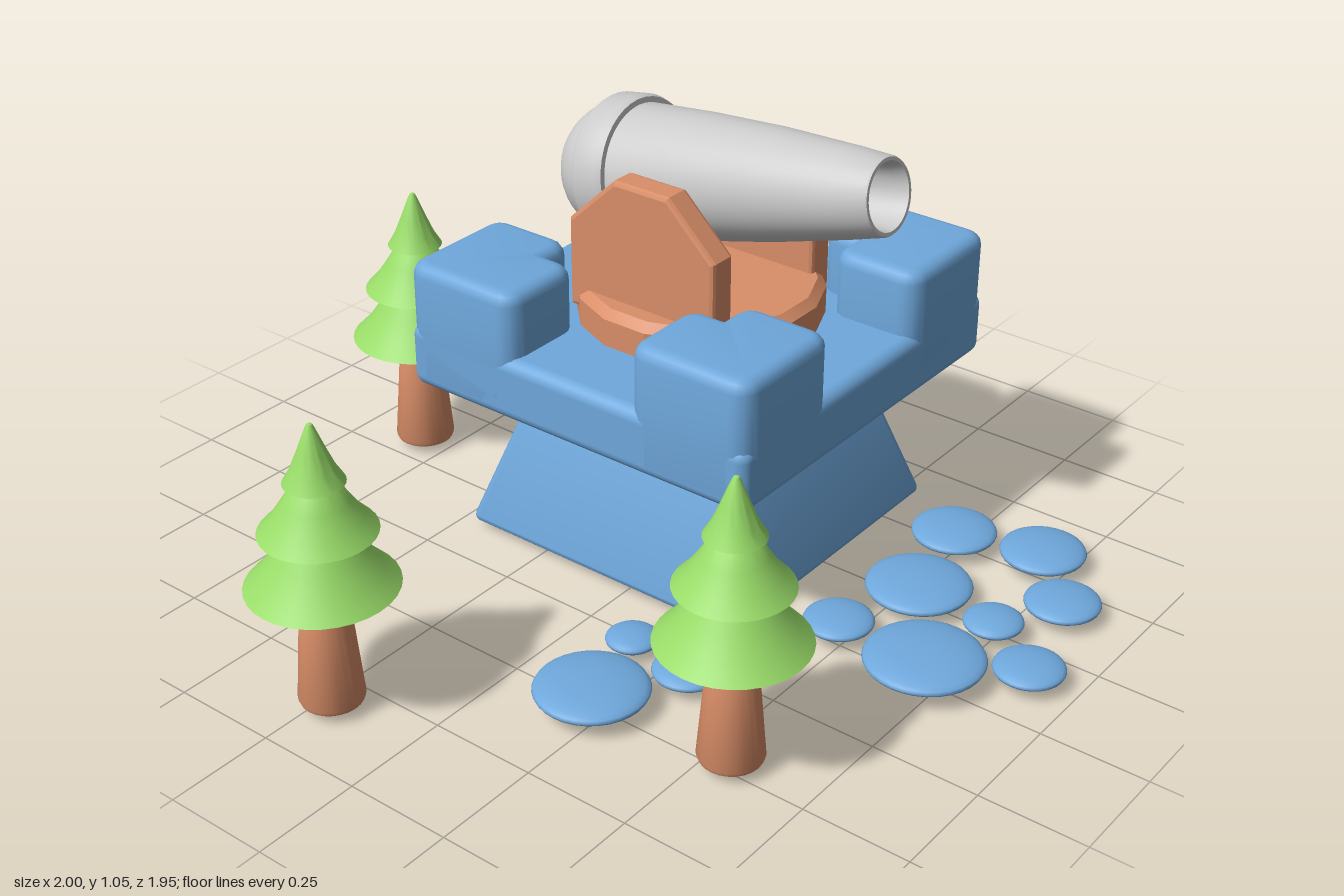
import * as THREE from 'three';
import { toCreasedNormals } from 'three/addons/utils/BufferGeometryUtils.js';
import { RoundedBoxGeometry } from 'three/addons/geometries/RoundedBoxGeometry.js';

const mat = (color) => new THREE.MeshStandardMaterial({ color });
const BLUE = mat(0x6fa8dc), WOOD = mat(0xd98e68), LEAF = mat(0x98db68);
const STEEL = mat(0xcccccc), CLOTH = mat(0xd94a68), BRASS = mat(0xd8b27c);

function add(parent, name, geometry, material, x = 0, y = 0, z = 0) {
  const mesh = new THREE.Mesh(geometry, material);
  mesh.name = name;
  mesh.position.set(x, y, z);
  parent.add(mesh);
  return mesh;
}

const lathe = (points, sides = 32, crease = 0.6) => toCreasedNormals(
  new THREE.LatheGeometry(points.map(([r, y]) => new THREE.Vector2(r, y)), sides), crease);

// Closed outline with every corner rounded by r
function roundedShape(points, r) {
  const shape = new THREE.Shape();
  const v = points.map(([x, y]) => new THREE.Vector2(x, y));
  v.forEach((p, i) => {
    const prev = v[(i + v.length - 1) % v.length], next = v[(i + 1) % v.length];
    const a = p.clone().add(prev.clone().sub(p).setLength(r));
    const b = p.clone().add(next.clone().sub(p).setLength(r));
    if (i === 0) shape.moveTo(a.x, a.y); else shape.lineTo(a.x, a.y);
    shape.quadraticCurveTo(p.x, p.y, b.x, b.y);
  });
  shape.closePath();
  return shape;
}

function makeTower() {
  const tower = new THREE.Group();
  tower.name = 'tower';

  // Tapered foot
  const foot = new RoundedBoxGeometry(0.78, 0.41, 0.78, 4, 0.025);
  const p = foot.attributes.position;
  for (let i = 0; i < p.count; i++) {
    const s = 1 - 0.34 * (p.getY(i) / 0.41 + 0.5);
    p.setX(i, p.getX(i) * s);
    p.setZ(i, p.getZ(i) * s);
  }
  add(tower, 'towerBase', toCreasedNormals(foot, 0.6), BLUE, 0, 0.225, 0);

  // Platform with four L-shaped corner battlements
  add(tower, 'platform', new RoundedBoxGeometry(0.94, 0.155, 0.94, 4, 0.03), BLUE, 0, 0.4775, 0);
  const outline = roundedShape([[0.44, 0.44], [0.19, 0.44], [0.19, 0.275],
    [0.275, 0.275], [0.275, 0.19], [0.44, 0.19]], 0.02);
  const merlon = toCreasedNormals(new THREE.ExtrudeGeometry(outline, {
    depth: 0.25, bevelThickness: 0.03, bevelSize: 0.03, bevelSegments: 4, curveSegments: 4,
  }).rotateX(-Math.PI / 2), 0.6);
  for (let i = 0; i < 4; i++) {
    add(tower, 'battlement', merlon, BLUE, 0, 0.43, 0).rotation.y = i * Math.PI / 2;
  }
  return tower;
}

function makeCannon() {
  const cannon = new THREE.Group();
  cannon.name = 'cannon';

  // Turntable
  const disc = lathe([[0, 0.54], [0.285, 0.54], [0.285, 0.62], [0.265, 0.64], [0, 0.64]], 16, 0.3);
  add(cannon, 'turntable', disc, WOOD).rotation.y = Math.PI / 16;

  // Cheek plates on both sides of the barrel
  const plate = new THREE.Shape([[-0.19, 0.6], [0.19, 0.6], [0.19, 0.8], [0.07, 0.915],
    [-0.07, 0.915], [-0.19, 0.8]].map(([x, y]) => new THREE.Vector2(x, y)));
  const cheek = new THREE.ExtrudeGeometry(plate, {
    depth: 0.05, bevelThickness: 0.01, bevelSize: 0.01, bevelSegments: 2,
  }).translate(0, 0, -0.025).rotateY(Math.PI / 2);
  for (const side of [-1, 1]) add(cannon, 'cheekPlate', cheek, WOOD, side * 0.187, 0, 0);
  const pin = new THREE.CylinderGeometry(0.035, 0.035, 0.04, 24).rotateZ(Math.PI / 2);
  add(cannon, 'pivotPin', pin, WOOD, 0.228, 0.79, 0);

  // Barrel with domed breech, reinforcing band and hollow muzzle
  const profile = [];
  for (let i = 0; i <= 10; i++) {
    const a = i / 10 * Math.PI / 2;
    profile.push([0.157 * Math.sin(a), -0.02 - 0.15 * Math.cos(a)]);
  }
  profile.push([0.157, -0.045], [0.166, -0.045], [0.172, -0.035], [0.172, 0.025], [0.166, 0.04],
    [0.153, 0.04], [0.144, 0.2], [0.126, 0.4], [0.1, 0.6], [0.087, 0.685], [0.084, 0.69],
    [0.076, 0.69], [0.07, 0.66], [0.06, 0.45], [0, 0.45]);
  profile.splice(10, 1);
  add(cannon, 'barrel', lathe(profile, 40), STEEL, 0.005, 0.845, -0.195)
    .rotation.x = THREE.MathUtils.degToRad(80);
  return cannon;
}

function makeBanner() {
  const banner = new THREE.Group();
  banner.name = 'banner';
  const shape = new THREE.Shape([[-0.168, 0.45], [-0.168, 0.11], [0, 0.025], [0.168, 0.11],
    [0.168, 0.45]].map(([x, y]) => new THREE.Vector2(x, y)));
  add(banner, 'bannerCloth', new THREE.ExtrudeGeometry(shape, { depth: 0.01, bevelEnabled: false })
    .translate(0, 0, -0.005).rotateY(Math.PI / 2), CLOTH);
  add(banner, 'bannerPole', new THREE.CylinderGeometry(0.017, 0.017, 0.35, 20)
    .rotateX(Math.PI / 2), STEEL, 0, 0.452, 0);
  for (const side of [-1, 1]) {
    add(banner, 'poleKnob', new THREE.SphereGeometry(0.028, 20, 14), BRASS, 0, 0.452, side * 0.177);
  }
  return banner;
}

function makeTree() {
  const tree = new THREE.Group();
  tree.name = 'tree';
  add(tree, 'trunk', lathe([[0, 0.025], [0.068, 0.025], [0.072, 0.035], [0.052, 0.27],
    [0.045, 0.29], [0.03, 0.3], [0, 0.302]], 24), WOOD);
  // Three flared tiers: [rim radius, top radius, rim height, top height]
  const tiers = [[0.163, 0.055, 0.308, 0.46], [0.125, 0.035, 0.438, 0.575], [0.065, 0.01, 0.552, 0.685]];
  for (const [r, t, y0, y1] of tiers) {
    const h = y1 - y0, d = r - t;
    add(tree, 'foliage', lathe([[0, y0 + 0.01], [r * 0.9, y0], [r, y0 + 0.003], [r - d * 0.32, y0 + h * 0.25],
      [r - d * 0.62, y0 + h * 0.55], [t, y1 - 0.006], [t * 0.6, y1 + 0.002], [0, y1 + 0.005]]), LEAF);
  }
  return tree;
}

export function createModel() {
  const model = new THREE.Group();
  model.name = 'cannonTower';

  const fort = new THREE.Group();
  fort.name = 'fort';
  fort.position.set(0.245, 0, -0.075);
  fort.add(makeTower(), makeCannon());
  model.add(fort);

  const banner = makeBanner();
  banner.position.set(0.75, 0, -0.073);
  model.add(banner);

  for (const [x, z] of [[-0.835, -0.22], [-0.475, 0.555], [0.085, -0.82]]) {
    const tree = makeTree();
    tree.position.set(x, 0, z);
    model.add(tree);
  }

  // Flat stepping stones: x, z, radius, height of centre
  const stones = [
    [-0.5, 0.21, 0.127, 0.05], [-0.295, 0.155, 0.06, 0.038], [-0.31, 0.32, 0.08, 0.038],
    [0.03, 0.475, 0.08, 0.045], [0.255, 0.54, 0.122, 0.045], [0.495, 0.485, 0.1, 0.045],
    [0.015, 0.705, 0.135, 0.055], [0.235, 0.745, 0.068, 0.045], [0.55, 0.69, 0.1, 0.043],
    [0.4, 0.825, 0.087, 0.04], [0.14, 0.89, 0.08, 0.04],
    [0.73, -0.49, 0.078, 0.05], [0.86, -0.565, 0.062, 0.045], [0.88, -0.36, 0.118, 0.028],
  ];
  const pebble = new THREE.SphereGeometry(1, 32, 14);
  for (const [x, z, r, y] of stones) {
    add(model, 'steppingStone', pebble, BLUE, x, y, z).scale.set(r, 0.012 + r * 0.11, r);
  }
  return model;
}
